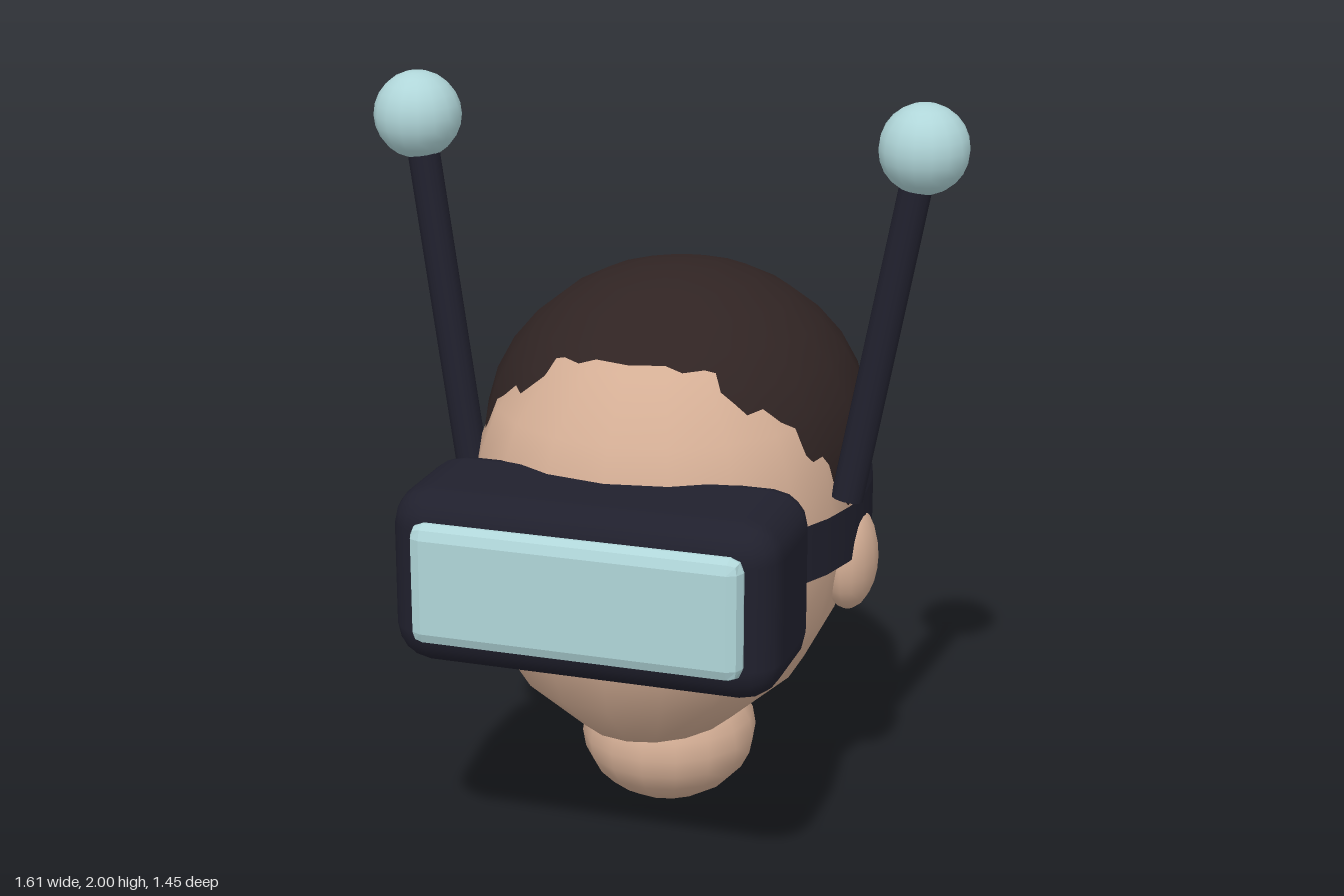
import * as THREE from 'three';
import { RoundedBoxGeometry } from 'three/addons/geometries/RoundedBoxGeometry.js';

const material = (name, color, side = THREE.FrontSide) => {
  const m = new THREE.MeshStandardMaterial({ color, side });
  m.name = name;
  return m;
};

// Closed smooth shell from rows of [y, half width, front depth, back depth]
function shell(rows, sides) {
  const pos = [], index = [];
  rows.forEach(([y, w, front, back]) => {
    for (let i = 0; i < sides; i++) {
      const a = (i / sides) * Math.PI * 2, c = Math.cos(a);
      pos.push(w * Math.sin(a), y, c * (c > 0 ? front : back));
    }
  });
  for (let r = 0; r < rows.length - 1; r++) {
    for (let i = 0; i < sides; i++) {
      const a = r * sides + i, b = r * sides + (i + 1) % sides;
      index.push(a, b, b + sides, a, b + sides, a + sides);
    }
  }
  const g = new THREE.BufferGeometry();
  g.setAttribute('position', new THREE.Float32BufferAttribute(pos, 3));
  g.setIndex(index);
  g.computeVertexNormals();
  return g;
}

// Ellipsoid with a vertex column on the centre line
function ellipsoid(rx, ry, rz, sides, rings, sweep = Math.PI) {
  return new THREE.SphereGeometry(1, sides, rings, 0, Math.PI * 2, 0, sweep)
    .rotateY(Math.PI / 2).scale(rx, ry, rz);
}

export function createModel() {
  const group = new THREE.Group();
  group.name = 'headsetBust';
  const skin = material('skin', 0xd4ae95);
  const hairBrown = material('hairBrown', 0x302423, THREE.DoubleSide);
  const navy = material('darkNavy', 0x20202d, THREE.DoubleSide);
  const aqua = material('paleAqua', 0xb0d6d9);

  const add = (name, geometry, mat, x = 0, y = 0, z = 0) => {
    const mesh = new THREE.Mesh(geometry, mat);
    mesh.name = name;
    mesh.position.set(x, y, z);
    group.add(mesh);
    return mesh;
  };

  // Head with a flat underside, and the neck below it
  add('head', shell([
    [0.30, 0, 0, 0],
    [0.30, 0.22, 0.29, 0.28],
    [0.45, 0.39, 0.45, 0.45],
    [0.60, 0.47, 0.49, 0.53],
    [0.75, 0.50, 0.515, 0.575],
    [0.90, 0.51, 0.515, 0.58],
    [1.05, 0.485, 0.475, 0.56],
    [1.17, 0.44, 0.435, 0.50],
    [1.32, 0.31, 0.30, 0.35],
    [1.40, 0.15, 0.15, 0.18],
    [1.42, 0, 0, 0],
  ], 18), skin);
  add('neck', ellipsoid(0.24, 0.19, 0.25, 16, 12), skin, 0, 0.19, -0.08);

  // Hair cap
  add('hair', ellipsoid(0.528, 0.48, 0.567, 18, 10, Math.PI * 0.645), hairBrown, 0, 1.025, -0.16);

  // Strap around the head
  const strap = new THREE.CylinderGeometry(1, 1, 0.155, 32, 1, true).scale(0.54, 1, 0.61);
  add('strap', strap, navy, 0, 0.853, -0.103);

  // Visor body and its bevelled glass
  add('visorBody', new RoundedBoxGeometry(1.02, 0.47, 0.405, 2, 0.1), navy, 0, 0.847, 0.4875);
  const glass = new RoundedBoxGeometry(0.87, 0.32, 0.1, 1, 0.035);
  glass.computeVertexNormals();
  add('visorGlass', glass, aqua, 0, 0.85, 0.677);

  // Ears and antennas on both sides
  for (const [side, s] of [['left', 1], ['right', -1]]) {
    add(side + 'Ear', ellipsoid(0.075, 0.145, 0.112, 14, 12), skin, s * 0.5, 0.745, -0.1);

    const base = new THREE.Vector3(s * 0.525, 0.96, 0.043);
    const tip = new THREE.Vector3(s * 0.687, 1.884, -0.03);
    const along = tip.clone().sub(base);
    const rod = add(side + 'Antenna', new THREE.CylinderGeometry(0.043, 0.043, along.length(), 12), navy);
    rod.position.copy(base).lerp(tip, 0.5);
    rod.quaternion.setFromUnitVectors(new THREE.Vector3(0, 1, 0), along.normalize());
    add(side + 'AntennaBall', new THREE.SphereGeometry(0.117, 16, 12), aqua, tip.x, tip.y, tip.z);
  }
  return group;
}
